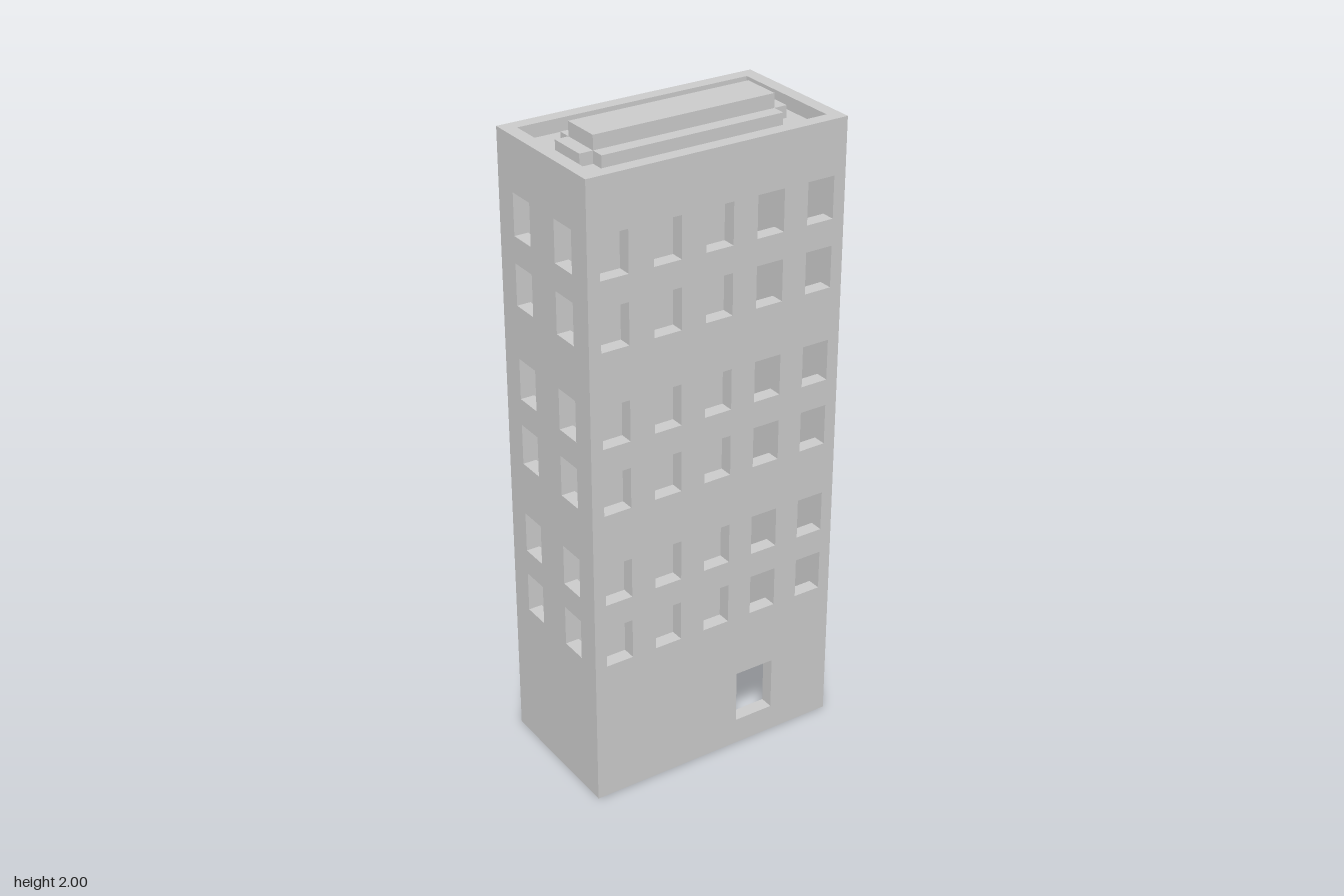
import * as THREE from 'three';

const W = 0.83, D = 0.456, H = 1.96;      // outer size of the block
const RIM = 0.041, ROOF = 1.92;           // parapet thickness, roof level
const REVEAL = 0.043;                     // depth of window and door openings
const WIN_W = 0.088, WIN_H = 0.127;
const ROWS = [0.46, 0.667, 0.96, 1.17, 1.461, 1.669]; // window sill heights

const material = new THREE.MeshStandardMaterial({
  color: 0xcccccc, flatShading: true, side: THREE.DoubleSide,
});

function add(parent, name, geometry) {
  const mesh = new THREE.Mesh(geometry, material);
  mesh.name = name;
  parent.add(mesh);
  return mesh;
}

// Closed rectangle from its lower left corner
function rect(path, x, y, w, h) {
  path.moveTo(x, y);
  path.lineTo(x + w, y);
  path.lineTo(x + w, y + h);
  path.lineTo(x, y + h);
  path.closePath();
  return path;
}

// Thin wall facing +z with openings, each lined by an open four-sided sleeve
function makeWall(name, width, openings = []) {
  const wall = new THREE.Group();
  wall.name = name;
  const shape = rect(new THREE.Shape(), -width / 2, 0, width, H);
  for (const o of openings) shape.holes.push(rect(new THREE.Path(), o.x, o.y, o.w, o.h));
  add(wall, name + 'Surface', new THREE.ShapeGeometry(shape));
  for (const o of openings) {
    const sleeve = new THREE.CylinderGeometry(Math.SQRT1_2, Math.SQRT1_2, 1, 4, 1, true);
    sleeve.rotateY(Math.PI / 4).rotateX(Math.PI / 2).scale(o.w, o.h, REVEAL);
    sleeve.translate(o.x + o.w / 2, o.y + o.h / 2, -REVEAL / 2);
    add(wall, o.name, sleeve);
  }
  return wall;
}

// Grid of windows for the given column centres
function windows(columns) {
  return ROWS.flatMap((y) => columns.map((c) => (
    { name: 'windowReveal', x: c - WIN_W / 2, y, w: WIN_W, h: WIN_H })));
}

export function createModel() {
  const building = new THREE.Group();
  building.name = 'building';

  // Four walls: windows on the front and one end, the others blank
  const front = makeWall('frontWall', W, [
    ...windows([-2, -1, 0, 1, 2].map((i) => i * 0.1665)),
    { name: 'doorReveal', x: 0.079, y: 0.085, w: 0.13, h: 0.171 },
  ]);
  front.position.z = D / 2;

  const right = makeWall('rightWall', D, windows([-0.107, 0.107]));
  right.rotation.y = -Math.PI / 2;
  right.position.x = -W / 2;

  const left = makeWall('leftWall', D);
  left.rotation.y = Math.PI / 2;
  left.position.x = W / 2;

  const back = makeWall('backWall', W);
  back.rotation.y = Math.PI;
  back.position.z = -D / 2;
  building.add(front, right, left, back);

  // Parapet: flat rim on top and the inner faces down to the roof
  const iw = W - 2 * RIM, id = D - 2 * RIM;
  const ring = rect(new THREE.Shape(), -W / 2, -D / 2, W, D);
  ring.holes.push(rect(new THREE.Path(), -iw / 2, -id / 2, iw, id));
  add(building, 'parapetTop', new THREE.ShapeGeometry(ring).rotateX(-Math.PI / 2).translate(0, H, 0));

  const inner = new THREE.CylinderGeometry(Math.SQRT1_2, Math.SQRT1_2, 1, 4, 1, true);
  inner.rotateY(Math.PI / 4).scale(iw, H - ROOF, id).translate(0, (H + ROOF) / 2, 0);
  add(building, 'parapetInside', inner);

  add(building, 'roof', new THREE.PlaneGeometry(iw, id).rotateX(-Math.PI / 2).translate(0, ROOF, 0));

  // Rooftop housing: raised centre with a lower ledge on each side
  const cw = 0.58, cd = 0.124, ledge = 0.042, ledgeTop = 1.957;
  const block = (name, w, d, top, x, z) => add(building, name,
    new THREE.BoxGeometry(w, top - ROOF, d).translate(x, (top + ROOF) / 2, z));
  block('roofHousing', cw, cd, 2, 0, 0);
  for (const s of [-1, 1]) {
    block('housingSideLedge', cw, ledge, ledgeTop, 0, s * (cd + ledge) / 2);
    block('housingEndLedge', ledge, cd, ledgeTop, s * (cw + ledge) / 2, 0);
  }

  return building;
}
